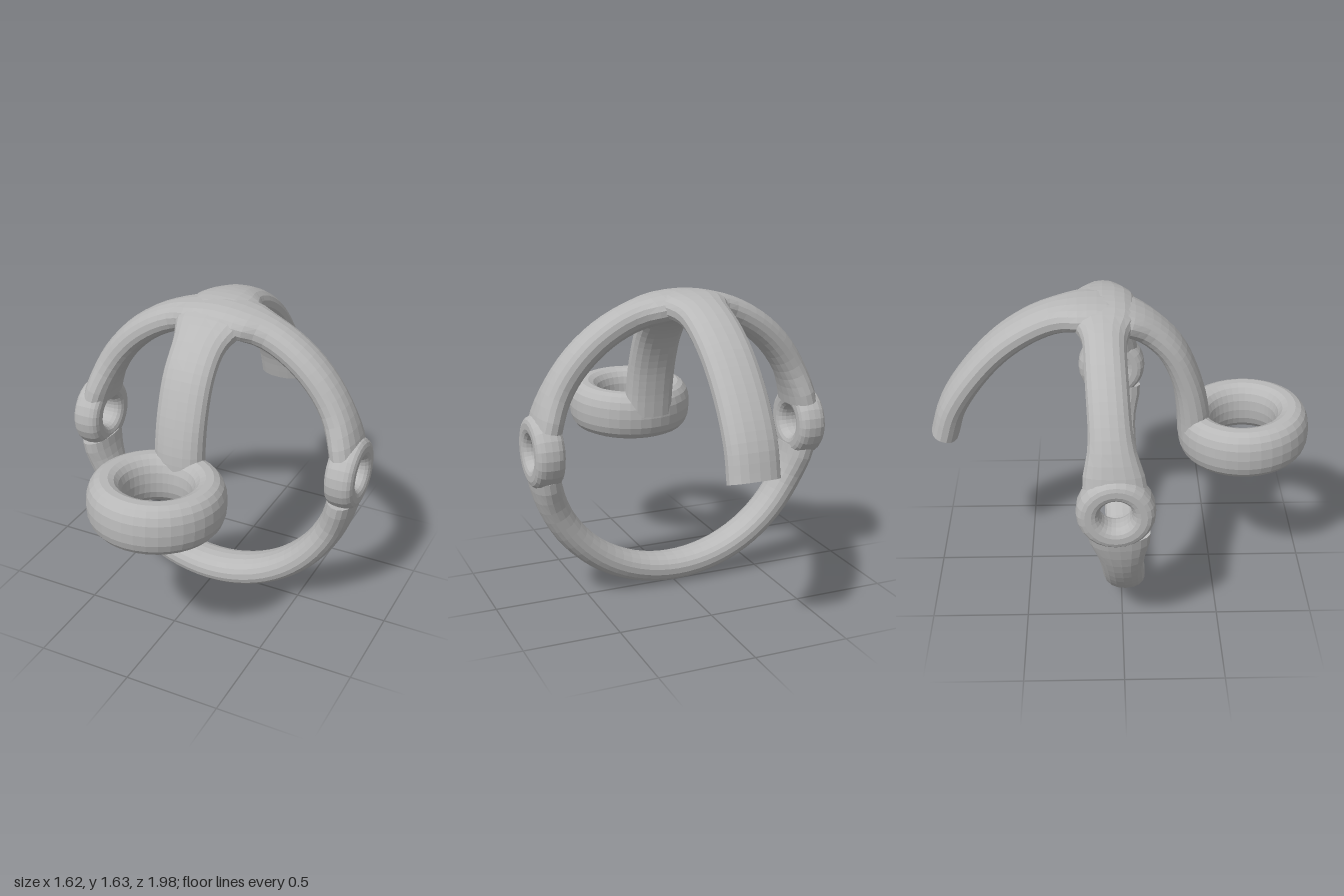
import * as THREE from 'three';

const metal = new THREE.MeshStandardMaterial({ color: 0xb8b8b8, flatShading: true });
metal.name = 'grey';

const SIDES = 18;

// Sweeps a rounded section along path(u). b is the fixed width direction;
// size(p, u) gives [half thickness, half width]; square < 1 flattens the sides.
function sweep(name, path, b, size, segments, closed, square = 1) {
  const pos = [], idx = [];
  const soft = (v) => Math.sign(v) * Math.pow(Math.abs(v), square);
  const t = new THREE.Vector3(), n = new THREE.Vector3();
  for (let i = 0; i <= segments; i++) {
    const u = i / segments, p = path(u), e = 0.001;
    const u0 = closed ? u - e : Math.max(0, u - e);
    const u1 = closed ? u + e : Math.min(1, u + e);
    t.copy(path(u1)).sub(path(u0));
    n.crossVectors(b, t).normalize();
    const [h, w] = size(p, u);
    for (let j = 0; j < SIDES; j++) {
      const a = (j / SIDES) * Math.PI * 2;
      const v = p.clone().addScaledVector(n, h * soft(Math.cos(a)))
        .addScaledVector(b, w * soft(Math.sin(a)));
      pos.push(v.x, v.y, v.z);
    }
  }
  for (let i = 0; i < segments; i++) {
    for (let j = 0; j < SIDES; j++) {
      const k = (j + 1) % SIDES, r = i * SIDES, s = r + SIDES;
      idx.push(r + j, r + k, s + j, r + k, s + k, s + j);
    }
  }
  if (!closed) {
    // End caps
    const last = segments * SIDES;
    for (let j = 1; j < SIDES - 1; j++) {
      idx.push(0, j + 1, j, last, last + j, last + j + 1);
    }
  }
  const geo = new THREE.BufferGeometry();
  geo.setAttribute('position', new THREE.Float32BufferAttribute(pos, 3));
  geo.setIndex(idx);
  geo.computeVertexNormals();
  const mesh = new THREE.Mesh(geo, metal);
  mesh.name = name;
  return mesh;
}

const bump = (d, reach) => Math.exp(-((Math.max(0, d) / reach) ** 2));
const lean = (y) => 0.031 - 0.075 * y;
const X = new THREE.Vector3(1, 0, 0);
const Y = new THREE.Vector3(0, 1, 0);
const Z = new THREE.Vector3(0, 0, 1);

// Half of the big hoop between two angles, widening into the side eyes and the crown
function hoopArc(name, from, to) {
  const angle = (u) => from + (to - from) * u;
  const path = (u) => new THREE.Vector3(
    0.735 * Math.cos(angle(u)), 0.82 + 0.735 * Math.sin(angle(u)), 0);
  const size = (p, u) => {
    const fromEnd = Math.min(u, 1 - u) * (to - from);
    const crown = p.y > 0.82 ? 0.06 * bump(Math.abs(p.x) - 0.12, 0.09) : 0;
    return [0.077, 0.105 + 0.05 * bump(fromEnd, 0.2) + crown];
  };
  const mesh = sweep(name, path, Z, size, 36, false, 0.9);
  // The hoop leans back towards the top
  const p = mesh.geometry.attributes.position;
  for (let i = 0; i < p.count; i++) p.setZ(i, p.getZ(i) + lean(p.getY(i)));
  mesh.geometry.computeVertexNormals();
  return mesh;
}

export function createModel() {
  const model = new THREE.Group();
  model.name = 'ringFrame';

  model.add(hoopArc('upperHoop', 0.212, Math.PI - 0.212));
  model.add(hoopArc('lowerHoop', Math.PI + 0.143, Math.PI * 2 - 0.143));

  // Pierced eyes on both sides of the hoop
  for (const side of [1, -1]) {
    const eye = sweep(side > 0 ? 'leftEye' : 'rightEye', (u) => {
      const a = u * Math.PI * 2;
      return new THREE.Vector3(0, 0.135 * Math.cos(a), 0.135 * Math.sin(a));
    }, X, () => [0.058, 0.077], 24, true, 0.75);
    eye.position.set(side * 0.735, 0.85, -0.037);
    model.add(eye);
  }

  // Strap arching from the front ring over the crown to the back hook
  const curve = new THREE.CatmullRomCurve3([
    [-0.01, 0.86, 0.385], [-0.015, 1.0, 0.375], [-0.02, 1.18, 0.335],
    [-0.025, 1.36, 0.25], [-0.027, 1.49, 0.11], [-0.027, 1.55, -0.04],
    [-0.027, 1.56, -0.2], [-0.027, 1.52, -0.38], [-0.026, 1.4, -0.58],
    [-0.024, 1.22, -0.75], [-0.018, 1.03, -0.87], [-0.012, 0.87, -0.92],
  ].map((p) => new THREE.Vector3(...p)));
  model.add(sweep('archStrap', (u) => curve.getPointAt(u), X, (p) => [
    0.073 + (p.z > 0 ? 0.012 * bump(p.y - 0.95, 0.2) : 0),
    0.134 + 0.05 * bump(Math.abs(p.z + 0.085) - 0.1, 0.09),
  ], 48, false, 0.85));

  // Thick ring held out at the front
  const ring = sweep('frontRing', (u) => {
    const a = u * Math.PI * 2;
    return new THREE.Vector3(0.257 * Math.cos(a), 0, 0.257 * Math.sin(a));
  }, Y, () => [0.088, 0.133], 36, true, 0.85);
  ring.position.set(0, 0.86, 0.648);
  ring.rotation.x = -0.05;
  model.add(ring);

  return model;
}
